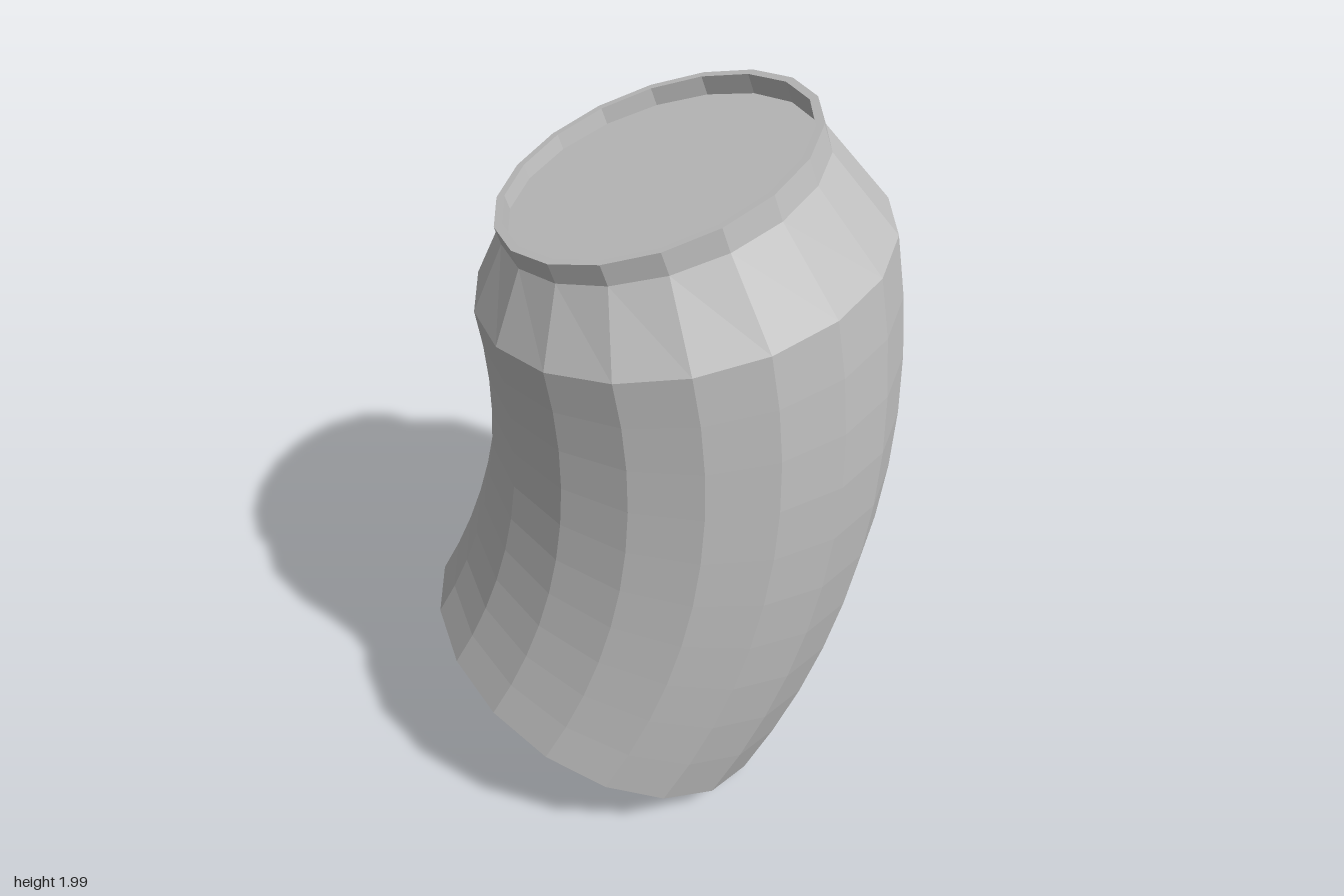
import * as THREE from 'three';

const SIDES = 18;
const BEND_RADIUS = 1.983;
const BEND_CENTRE = new THREE.Vector2(-1.893, 1.245);
const deg = THREE.MathUtils.degToRad;

// Wraps a straight upright shape round the bend centre; its y is the bend angle in degrees.
function bend(geometry) {
  const p = geometry.attributes.position;
  for (let i = 0; i < p.count; i++) {
    const a = deg(p.getY(i));
    const r = BEND_RADIUS + p.getX(i);
    p.setXY(i, BEND_CENTRE.x + r * Math.cos(a), BEND_CENTRE.y + r * Math.sin(a));
  }
  geometry.computeVertexNormals();
  return geometry;
}

export function createModel() {
  const group = new THREE.Group();
  group.name = 'bentCan';
  const metal = new THREE.MeshStandardMaterial({ color: 0xc0c0c0, flatShading: true });
  metal.name = 'grey metal';

  // Profile points are [radius, bend angle], from the bottom up on the outside.
  function addPart(name, profile) {
    const points = profile.map(([r, a]) => new THREE.Vector2(r, a));
    const mesh = new THREE.Mesh(bend(new THREE.LatheGeometry(points, SIDES, deg(-1))), metal);
    mesh.name = name;
    group.add(mesh);
  }

  const outer = 0.53, neck = 0.413, inner = 0.392;
  const base = -31.2, bodyLow = -29.3, bodyHigh = 10.8, neckLow = 16.6, top = 18.4;
  const recess = 1.4;

  // Recessed underside and its standing ring
  addPart('underside', [[0, base + recess], [inner, base + recess]]);
  addPart('baseRing', [[inner, base + recess], [inner, base], [neck, base]]);
  addPart('baseBevel', [[neck, base], [outer, bodyLow]]);

  // Curved wall
  const wall = [];
  const rows = 10;
  for (let i = 0; i <= rows; i++) wall.push([outer, THREE.MathUtils.lerp(bodyLow, bodyHigh, i / rows)]);
  addPart('body', wall);

  // Tapered shoulder, rim and sunken lid
  addPart('shoulder', [[outer, bodyHigh], [neck, neckLow]]);
  addPart('rim', [[neck, neckLow], [neck, top], [inner, top], [inner, top - recess]]);
  addPart('lid', [[inner, top - recess], [0, top - recess]]);

  return group;
}
